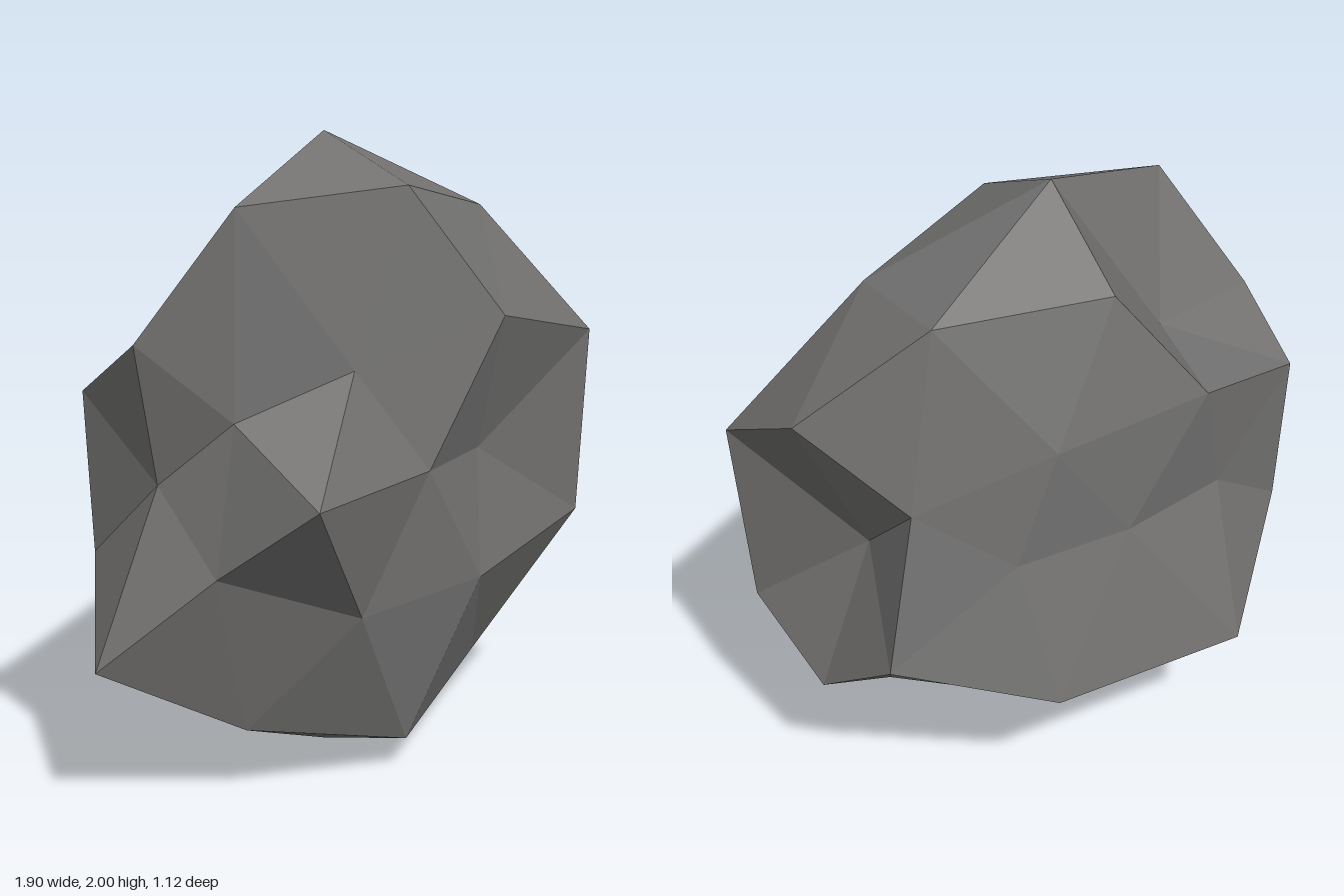
import * as THREE from 'three';

// Radius of each direction, grouped by mirrored family.
// Within a family the order counts sign flips: x first, then y, then z.
const FAMILIES = [
  { dir: [1, 0, 0], radii: [0.6, 0.62] },
  { dir: [0, 1, 0], radii: [1.01, 0.99] },
  { dir: [0, 0, 1], radii: [0.68, 0.62] },
  { dir: [0.851, 0.526, 0], radii: [0.935, 0.813, 0.91, 0.99] },
  { dir: [0, 0.851, 0.526], radii: [1.01, 1.046, 0.9, 0.73] },
  { dir: [0.526, 0, 0.851], radii: [0.605, 1.01, 0.65, 0.65] },
  { dir: [0.309, 0.5, 0.809], radii: [0.895, 0.65, 0.8, 0.815, 0.72, 0.79, 0.94, 1.02] },
  { dir: [0.5, 0.809, 0.309], radii: [0.94, 1.013, 0.94, 0.94, 0.97, 0.585, 0.62, 0.67] },
  { dir: [0.809, 0.309, 0.5], radii: [1.036, 0.646, 1.0, 0.77, 0.73, 0.825, 0.87, 0.8] },
];

function radiusAt(v) {
  const p = v.toArray();
  const match = (f) => f.dir.reduce((sum, d, i) => sum + d * Math.abs(p[i]), 0);
  const family = FAMILIES.reduce((best, f) => (match(f) > match(best) ? f : best));
  let index = 0, bit = 1;
  family.dir.forEach((d, i) => {
    if (d === 0) return;
    if (p[i] < 0) index += bit;
    bit *= 2;
  });
  return family.radii[index];
}

export function createModel() {
  const group = new THREE.Group();
  group.name = 'rock';

  // Subdivided icosahedron, dented and bulged along its radii, then flattened
  const geometry = new THREE.IcosahedronGeometry(1, 1).rotateZ(Math.PI / 2);
  const position = geometry.attributes.position;
  const v = new THREE.Vector3();
  for (let i = 0; i < position.count; i++) {
    v.fromBufferAttribute(position, i).normalize();
    v.multiplyScalar(radiusAt(v));
    position.setXYZ(i, v.x * 1.13, v.y + 0.99, v.z * 0.665);
  }
  geometry.computeVertexNormals();

  const stone = new THREE.MeshStandardMaterial({ color: 0x727170, flatShading: true });
  stone.name = 'stone grey';
  const boulder = new THREE.Mesh(geometry, stone);
  boulder.name = 'boulder';
  group.add(boulder);
  return group;
}
